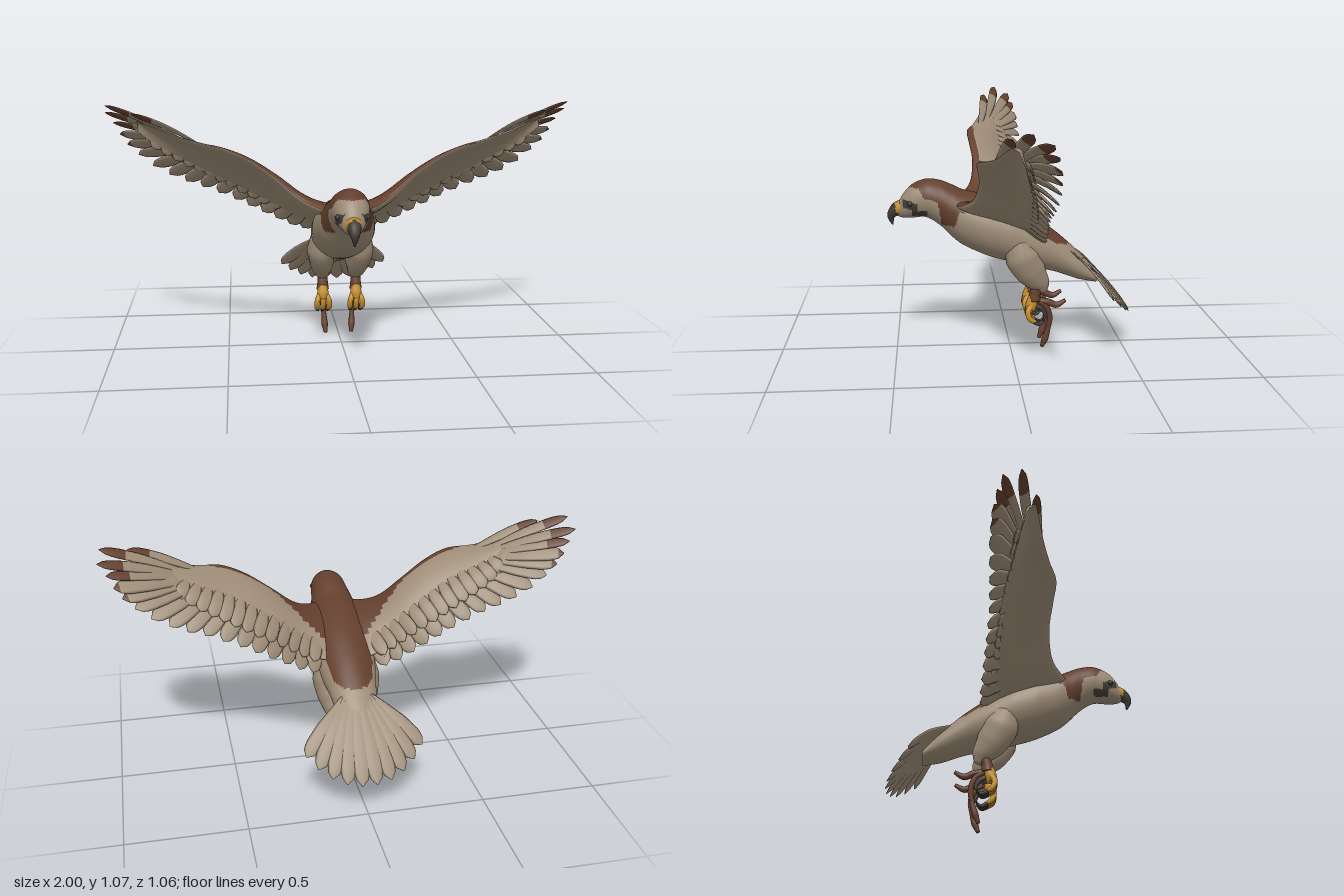
import * as THREE from 'three';

const V = (x, y, z) => new THREE.Vector3(x, y, z);
const paint = (name, hex) => {
  const m = new THREE.MeshStandardMaterial({ color: hex });
  m.name = name;
  return m;
};

// Piecewise-linear lookup in a list of [key, value], keys ascending
function lookup(table, k) {
  if (k <= table[0][0]) return table[0][1];
  for (let i = 1; i < table.length; i++) {
    const [a, va] = table[i - 1], [b, vb] = table[i];
    if (k <= b) return va + (vb - va) * (k - a) / (b - a);
  }
  return table[table.length - 1][1];
}

// Ellipse of n points around c, with half-axes a and b
function ring(c, a, b, n) {
  return Array.from({ length: n }, (_, j) => {
    const t = j / n * Math.PI * 2;
    return c.clone().addScaledVector(a, Math.cos(t)).addScaledVector(b, Math.sin(t));
  });
}

// Closed skin over rings; pick(centre, i, j) gives the material index of each face
function loft(name, rings, mats, pick = () => 0) {
  const n = rings[0].length, pts = rings.flat(), buckets = mats.map(() => []);
  const centre = r => r.reduce((s, p) => s.add(p), V(0, 0, 0)).divideScalar(n);
  const first = pts.push(centre(rings[0])) - 1;
  const last = pts.push(centre(rings[rings.length - 1])) - 1;
  let volume = 0;
  const tri = (k, a, b, c) => {
    buckets[k].push([a, b, c]);
    volume += pts[a].dot(pts[b].clone().cross(pts[c]));
  };
  for (let i = 0; i < rings.length - 1; i++) for (let j = 0; j < n; j++) {
    const a = i * n + j, b = i * n + (j + 1) % n;
    const k = pick(pts[a].clone().add(pts[b + n]).multiplyScalar(0.5), i, j);
    tri(k, a, b, b + n);
    tri(k, a, b + n, a + n);
  }
  const end = (rings.length - 1) * n;
  for (let j = 0; j < n; j++) {
    tri(pick(pts[first], 0, j), first, (j + 1) % n, j);
    tri(pick(pts[last], rings.length - 2, j), last, end + j, end + (j + 1) % n);
  }
  const g = new THREE.BufferGeometry().setFromPoints(pts), index = [];
  buckets.forEach((tris, k) => {
    g.addGroup(index.length, tris.length * 3, k);
    for (const [a, b, c] of tris) index.push(...(volume < 0 ? [a, c, b] : [a, b, c]));
  });
  g.setIndex(index);
  g.computeVertexNormals();
  const mesh = new THREE.Mesh(g, mats);
  mesh.name = name;
  return mesh;
}

// Round limb through rows of [x, y, z, radius]
function limb(name, rows, mats, pick, flat = 1) {
  const path = new THREE.CatmullRomCurve3(rows.map(r => V(r[0], r[1], r[2])));
  const radii = rows.map((r, i) => [i / (rows.length - 1), r[3]]), N = rows.length * 5, rings = [];
  for (let i = 0; i <= N; i++) {
    const d = path.getTangent(i / N), a = V(1, 0, 0).addScaledVector(d, -d.x).normalize();
    const r = lookup(radii, i / N), b = d.clone().cross(a);
    rings.push(ring(path.getPoint(i / N), a.multiplyScalar(r), b.multiplyScalar(r * flat), 14));
  }
  return loft(name, rings, mats, pick);
}

// Flat rounded blade from root to tip, facing n; material 1 starts at the given length
function feather(name, root, tip, width, n, mats, tipStart = 2) {
  const d = tip.clone().sub(root), u = d.clone().normalize(), N = 14, rings = [];
  const up = n.clone().addScaledVector(u, -n.dot(u)).normalize(), across = u.clone().cross(up);
  for (let i = 0; i <= N; i++) {
    const t = i / N, e = Math.max(0, (t - 0.75) / 0.25);
    const w = width * Math.min(1, 0.45 + t) * Math.sqrt(Math.max(0.004, 1 - e * e));
    const c = root.clone().addScaledVector(d, t).addScaledVector(up, 0.012 * Math.sin(t * Math.PI));
    rings.push(ring(c, across.clone().multiplyScalar(w), up.clone().multiplyScalar(0.0015 + w * 0.13), 8));
  }
  return loft(name, rings, mats, (c, i) => (i / N >= tipStart ? 1 : 0));
}

export function createModel() {
  const bird = new THREE.Group();
  bird.name = 'bird';
  const tan = paint('tan plumage', 0x9c8b76), brown = paint('brown plumage', 0x633f2d);
  const yellow = paint('yellow skin', 0xc28c2c), dark = paint('dark horn', 0x403b36);

  // Body and head: z, top, bottom, half width
  const body = [
    [0.485, 0.645, 0.595, 0.022], [0.46, 0.69, 0.587, 0.045], [0.42, 0.732, 0.587, 0.064],
    [0.36, 0.755, 0.588, 0.078], [0.3, 0.748, 0.55, 0.086], [0.25, 0.728, 0.5, 0.1],
    [0.2, 0.705, 0.462, 0.117], [0.1, 0.68, 0.415, 0.135], [0, 0.64, 0.385, 0.134],
    [-0.1, 0.585, 0.358, 0.12], [-0.2, 0.515, 0.335, 0.1], [-0.3, 0.425, 0.3, 0.085], [-0.38, 0.335, 0.285, 0.06],
  ];
  const spine = new THREE.CatmullRomCurve3(body.map(r => V(r[1], r[2], r[0])), false, 'catmullrom');
  const girth = body.map((r, i) => [i / (body.length - 1), r[3]]);
  const bodyRings = [];
  for (let i = 0; i <= 110; i++) {
    const p = spine.getPoint(i / 110);
    bodyRings.push(ring(V(0, (p.x + p.y) / 2, p.z), V(lookup(girth, i / 110), 0, 0), V(0, (p.x - p.y) / 2, 0), 64));
  }
  // Lower border of the brown mantle along z
  const mantle = [[-0.28, 0.46], [-0.2, 0.475], [-0.1, 0.53], [0, 0.57], [0.17, 0.63], [0.225, 0.62], [0.24, 0.56],
    [0.295, 0.565], [0.31, 0.665], [0.37, 0.68], [0.39, 0.72], [0.44, 0.725], [0.45, 0.8]];
  bird.add(loft('body', bodyRings, [tan, brown, dark], c => {
    if (c.z > -0.28 && c.y > lookup(mantle, c.z)) return 1;
    const eyePatch = Math.abs(c.z - 0.43) < 0.03 && Math.abs(c.y - 0.648 + (0.43 - c.z) * 0.3) < 0.018;
    const cheek = Math.abs(c.z - 0.39) < 0.03 && Math.abs(c.y - 0.612) < 0.012;
    return eyePatch || cheek ? 2 : 0;
  }));

  // Hooked beak with yellow base
  bird.add(limb('beak', [[0, 0.632, 0.45, 0.042], [0, 0.624, 0.488, 0.03], [0, 0.596, 0.512, 0.018], [0, 0.556, 0.507, 0.003]],
    [dark, yellow], c => (c.z < 0.492 && c.y > 0.612 ? 1 : 0)));

  // Fanned tail
  const tail = new THREE.Group();
  tail.name = 'tail';
  bird.add(tail);
  for (let i = 0; i < 10; i++) {
    const s = (i - 4.5) / 4.5, a = s * 0.9, slope = z => 0.465 + (z + 0.25) * 1.09 - 0.012 * Math.abs(s);
    const z = -0.25 - 0.28 * Math.cos(a);
    tail.add(feather('tailFeather', V(s * 0.055, slope(-0.27), -0.27), V(0.245 * Math.sin(a) / Math.sin(0.9), slope(z), z),
      0.036, V(0, 0.67, -0.74), [tan]));
  }

  // Wing stations: x, leading y z, trailing y z, half thickness
  const stations = [
    [0.05, 0.655, 0.26, 0.52, -0.1, 0.03], [0.12, 0.66, 0.215, 0.54, -0.1, 0.035], [0.2, 0.7, 0.165, 0.57, -0.08, 0.03],
    [0.3, 0.785, 0.147, 0.63, -0.07, 0.024], [0.4, 0.855, 0.157, 0.685, -0.06, 0.021], [0.5, 0.898, 0.163, 0.74, -0.05, 0.018],
    [0.6, 0.918, 0.13, 0.79, -0.04, 0.015], [0.7, 0.945, 0.1, 0.845, -0.02, 0.012], [0.8, 0.985, 0.075, 0.905, 0, 0.008],
    [0.86, 1.005, 0.06, 0.96, 0.025, 0.003],
  ];
  const last = stations.length - 1;
  const spanAt = stations.map((r, i) => [r[0], i / last]), thick = stations.map(r => [r[0], r[5]]);
  const lead = new THREE.CatmullRomCurve3(stations.map(r => V(r[0], r[1], r[2])), false, 'catmullrom');
  const trail = new THREE.CatmullRomCurve3(stations.map(r => V(r[0], r[3], r[4])), false, 'catmullrom');
  const wingAt = (x, v) => {
    const u = lookup(spanAt, x), l = lead.getPoint(u), t = trail.getPoint(u), chord = t.clone().sub(l);
    const n = lead.getTangent(u).cross(chord).normalize();
    if (n.y < 0) n.negate();
    return { p: l.addScaledVector(chord, v).addScaledVector(n, 0.02 * Math.sin(Math.min(v, 1) * Math.PI)), n, chord };
  };
  // Flight feathers: tip x y z, root x
  const flight = [
    [0.88, 1.035, 0.06, 0.6], [0.99, 1.065, 0, 0.66], [1, 1.03, -0.07, 0.68], [0.97, 0.985, -0.09, 0.68],
    [0.945, 0.935, -0.1, 0.66], [0.915, 0.89, -0.105, 0.64], [0.87, 0.845, -0.11, 0.61], [0.81, 0.795, -0.11, 0.57],
    [0.74, 0.755, -0.11, 0.54], [0.67, 0.725, -0.11, 0.5], [0.6, 0.7, -0.11, 0.46], [0.53, 0.67, -0.115, 0.41],
    [0.46, 0.64, -0.12, 0.36], [0.4, 0.61, -0.125, 0.31], [0.34, 0.58, -0.13, 0.26], [0.28, 0.55, -0.135, 0.21],
    [0.22, 0.52, -0.14, 0.17], [0.16, 0.5, -0.14, 0.13],
  ];
  const wingBrown = [[0.09, -0.03], [0.2, 0.06], [0.3, 0.115], [0.56, 0.135]];

  for (const s of [1, -1]) {
    const side = s > 0 ? 'left' : 'right', flip = p => V(p.x * s, p.y, p.z);
    const wing = new THREE.Group();
    wing.name = side + 'Wing';
    bird.add(wing);

    // Wing panel with a brown leading edge
    const rings = [];
    for (let i = 0; i <= 64; i++) {
      const x = 0.05 + 0.81 * i / 64, { n, chord } = wingAt(x, 0);
      const r = [];
      for (let j = 0; j < 40; j++) {
        const t = j / 40 * Math.PI * 2, v = (1 - Math.cos(t)) / 2;
        r.push(flip(wingAt(x, v).p.addScaledVector(n, Math.sin(t) * lookup(thick, x) * (1.15 - 0.6 * v))));
      }
      rings.push(r);
    }
    wing.add(loft('wingPanel', rings, [tan, brown], (c, i, j) => {
      const x = Math.abs(c.x);
      return x < 0.56 && (j < 20 || j > 38) && c.z > lookup(wingBrown, x) ? 1 : 0;
    }));

    // Long flight feathers, the outer ones brown-tipped
    flight.forEach(([x, y, z, rx], i) => {
      const { p, n } = wingAt(rx, i < 4 ? 0.15 + i * 0.1 : 0.5);
      wing.add(feather('flightFeather', flip(p), V(x * s, y, z), i < 4 ? 0.024 : 0.036, flip(n),
        [tan, brown], i < 4 ? 0.68 : i < 6 ? 0.88 : 2));
    });

    // Short covert feathers above and below
    for (let x = 0.12; x < 0.76; x += 0.045) for (const o of [0.012, -0.01]) {
      const a = wingAt(x, 0.5), b = wingAt(x + 0.045, 1.13);
      wing.add(feather('covertFeather', flip(a.p.addScaledVector(a.n, o * 0.5)),
        flip(b.p.addScaledVector(b.n, o)), 0.03, flip(a.n), [tan]));
    }

    // Feathered thigh, cuff, foot and strap
    const leg = new THREE.Group();
    leg.name = side + 'Leg';
    leg.position.x = s * 0.075;
    bird.add(leg);
    leg.add(limb('thigh', [[0.01 * s, 0.49, -0.03, 0.045], [0.012 * s, 0.42, -0.05, 0.062], [0.005 * s, 0.35, -0.09, 0.054],
      [0, 0.295, -0.13, 0.034], [0, 0.26, -0.145, 0.012]], [tan], undefined, 1.25));
    leg.add(limb('ankleCuff', [[0, 0.285, -0.115, 0.022], [0, 0.25, -0.105, 0.024], [0, 0.222, -0.102, 0.028]], [brown]));
    leg.add(limb('foot', [[0, 0.24, -0.1, 0.022], [0, 0.205, -0.09, 0.026], [0, 0.18, -0.085, 0.022]], [yellow]));
    for (const k of [-1, 0, 1]) {
      leg.add(limb('toe', [[k * 0.012, 0.205, -0.09, 0.013], [k * 0.026, 0.175, -0.073, 0.012],
        [k * 0.028, 0.145, -0.082, 0.012], [k * 0.024, 0.13, -0.105, 0.009]], [yellow]));
      leg.add(limb('talon', [[k * 0.024, 0.131, -0.1, 0.01], [k * 0.022, 0.12, -0.125, 0.008], [k * 0.02, 0.135, -0.148, 0.002]], [dark]));
    }
    leg.add(limb('hindToe', [[0, 0.2, -0.1, 0.013], [0, 0.185, -0.135, 0.012], [0, 0.155, -0.152, 0.009], [0, 0.13, -0.14, 0.002]], [dark]));
    leg.add(limb('hangingStrap', [[0, 0.225, -0.11, 0.014], [0, 0.2, -0.15, 0.014], [-0.004 * s, 0.145, -0.172, 0.012],
      [-0.01 * s, 0.09, -0.165, 0.011], [-0.013 * s, 0.04, -0.152, 0.015], [-0.016 * s, 0.004, -0.138, 0.008]], [brown]));
    leg.add(limb('backStrap', [[0, 0.22, -0.11, 0.014], [0, 0.215, -0.16, 0.015], [0, 0.2, -0.2, 0.014], [0, 0.22, -0.24, 0.008]], [brown]));

    // Eye
    const eye = new THREE.Mesh(new THREE.SphereGeometry(0.012, 16, 12), dark);
    eye.name = side + 'Eye';
    eye.position.set(s * 0.058, 0.657, 0.43);
    bird.add(eye);
  }
  return bird;
}
